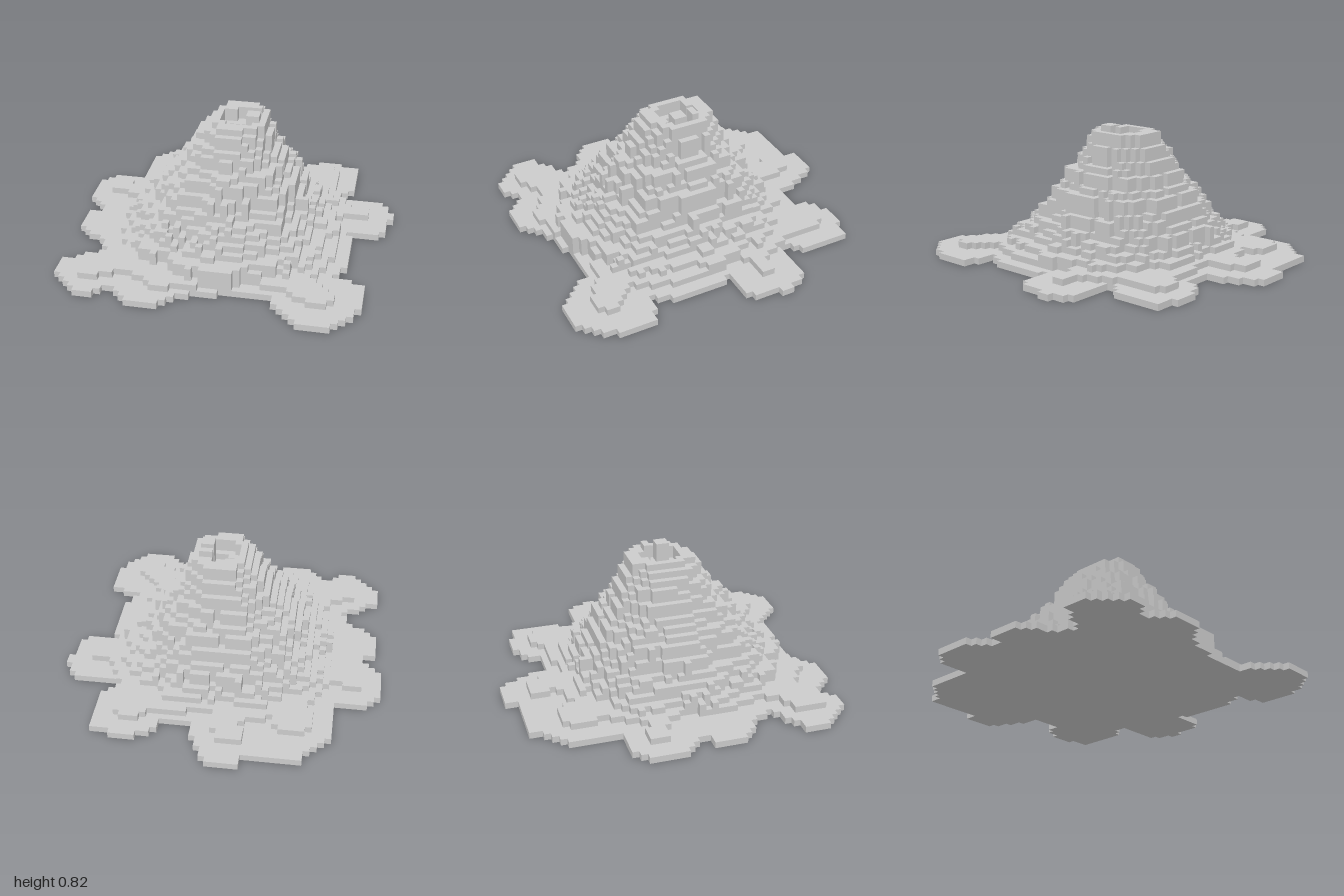
import * as THREE from 'three';

const V = 2 / 51;            // cube size
const NX = 50, NZ = 51, NY = 21;

// Lobed outlines of the two lowest layers, as x, z pairs
const APRON = [
  -.16, -1, 0, -1, .07, -.88, .115, -.78, .115, -.69, .31, -.69, .33, -.75, .39, -.81, .47, -.85, .58, -.85,
  .62, -.81, .7, -.81, .7, -.49, .66, -.46, .62, -.38, .86, -.38, .93, -.31, .98, -.2, .94, -.14, .94, -.03,
  .86, .02, .67, .02, .74, .05, .74, .35, .7, .49, .66, .53, .78, .53, .86, .6, .86, .8, .7, 1,
  .51, 1, .35, .83, .35, .77, .08, .77, -.04, .81, -.2, .84, -.28, .96, -.47, .96, -.59, .84, -.67, .91,
  -.78, .91, -.86, .84, -.94, .76, -.94, .64, -.86, .57, -.71, .48, -.75, .36, -.9, .29, -.94, .25, -.94, .09,
  -.86, .02, -.98, -.1, -.98, -.29, -.94, -.35, -.86, -.41, -.71, -.41, -.67, -.46, -.71, -.48, -.71, -.69,
  -.58, -.85, -.51, -.925, -.23, -.925,
];
const FLOW = [
  -.2, -.85, -.04, -.85, 0, -.69, .02, -.61, .35, -.65, .47, -.73, .55, -.73, .58, -.69, .58, -.53, .62, -.38,
  .7, -.22, .82, -.22, .82, -.14, .66, -.14, .62, -.06, .62, .1, .66, .13, .66, .33, .58, .56, .55, .6,
  .62, .68, .7, .72, .7, .8, .66, .84, .58, .84, .43, .75, .24, .69, .08, .72, -.04, .77, -.31, .84,
  -.43, .76, -.55, .72, -.71, .8, -.79, .8, -.79, .64, -.63, .56, -.59, .45, -.67, .21, -.63, 0, -.67, -.14,
  -.86, -.18, -.86, -.3, -.78, -.3, -.7, -.25, -.63, -.3, -.55, -.5, -.59, -.57, -.59, -.69, -.51, -.73, -.39, -.73,
  -.35, -.61, -.24, -.65, -.16, -.69, -.2, -.77,
];

// Reach of each cone layer (from the third layer up) towards the four sides
const CONE = {
  left: [.62, .55, .51, .47, .43, .43, .39, .39, .39, .35, .31, .31, .27, .23, .23, .23, .2, .2],
  right: [.63, .59, .55, .51, .47, .47, .43, .43, .39, .35, .31, .27, .27, .23, .23, .2, .16, .12],
  front: [.73, .73, .65, .61, .57, .53, .49, .45, .45, .41, .41, .37, .33, .33, .29, .25, .25, .22],
  back: [.57, .53, .49, .49, .45, .41, .41, .37, .37, .33, .29, .29, .25, .25, .22, .2, .18, .18],
};

function inside(outline, x, z) {
  let hit = false;
  for (let i = 0, j = outline.length - 2; i < outline.length; j = i, i += 2) {
    const xi = outline[i], zi = outline[i + 1], xj = outline[j], zj = outline[j + 1];
    if ((zi > z) !== (zj > z) && x < ((xj - xi) * (z - zi)) / (zj - zi) + xi) hit = !hit;
  }
  return hit;
}

// Repeatable roughness per column, -1 to 1
function rough(i, k) {
  const s = Math.sin(i * 12.9898 + k * 78.233) * 43758.5453;
  return (s - Math.floor(s)) * 2 - 1;
}

// Number of stacked cubes in a column
function columnHeight(i, k) {
  const x = (i + 0.5 - NX / 2) * V, z = (k + 0.5 - NZ / 2) * V;
  if (!inside(APRON, x, z)) return 0;
  let h = inside(FLOW, x, z) ? 2 : 1;
  const sideX = x > 0 ? CONE.left : CONE.right, sideZ = z > 0 ? CONE.front : CONE.back;
  const limit = 1 + 0.05 * rough(i, k) + 0.03 * Math.sin(Math.atan2(z, x) * 9);
  for (let n = 0; n < sideX.length; n++) {
    const r = Math.pow(Math.abs(x) / sideX[n], 2.4) + Math.pow(Math.abs(z) / sideZ[n], 2.4);
    if (Math.pow(r, 1 / 2.4) < limit) h = n + 3;
  }
  // Crater hollow and the raised stones on its rim
  const d = Math.hypot(x - 0.03, z - 0.03);
  if (d < 0.06) h = Math.min(h, 17);
  else if (d < 0.115) h = Math.min(h, 18);
  if (x > 0.08 && x < 0.16 && ((z > -0.06 && z < -0.02) || (z > 0.02 && z < 0.1))) h = 21;
  return h;
}

// Each side of a cube: neighbour direction and two edge directions (u x v = direction)
const SIDES = [
  [[1, 0, 0], [0, 1, 0], [0, 0, 1]], [[-1, 0, 0], [0, 0, 1], [0, 1, 0]],
  [[0, 1, 0], [0, 0, 1], [1, 0, 0]], [[0, -1, 0], [1, 0, 0], [0, 0, 1]],
  [[0, 0, 1], [1, 0, 0], [0, 1, 0]], [[0, 0, -1], [0, 1, 0], [1, 0, 0]],
];

// Visible cube sides of the layers from..to
function cubeLayers(name, heights, from, to, material) {
  const height = (i, k) => (i < 0 || k < 0 || i >= NX || k >= NZ ? 0 : heights[i][k]);
  const solid = (i, j, k) => j >= 0 && j < height(i, k);
  const pos = [], nor = [], idx = [];
  for (let i = 0; i < NX; i++) for (let k = 0; k < NZ; k++) for (let j = from; j < Math.min(to, height(i, k)); j++) {
    for (const [d, u, v] of SIDES) {
      if (solid(i + d[0], j + d[1], k + d[2])) continue;
      const c = [i + 0.5 - NX / 2, j + 0.5, k + 0.5 - NZ / 2], base = pos.length / 3;
      for (const [a, b] of [[-1, -1], [1, -1], [1, 1], [-1, 1]]) {
        for (let m = 0; m < 3; m++) pos.push((c[m] + (d[m] + a * u[m] + b * v[m]) / 2) * V);
        nor.push(...d);
      }
      idx.push(base, base + 1, base + 2, base, base + 2, base + 3);
    }
  }
  const geometry = new THREE.BufferGeometry();
  geometry.setAttribute('position', new THREE.Float32BufferAttribute(pos, 3));
  geometry.setAttribute('normal', new THREE.Float32BufferAttribute(nor, 3));
  geometry.setIndex(idx);
  const mesh = new THREE.Mesh(geometry, material);
  mesh.name = name;
  return mesh;
}

export function createModel() {
  const group = new THREE.Group();
  group.name = 'volcano';
  const material = new THREE.MeshStandardMaterial({ color: 0xcccccc, flatShading: true });
  const heights = Array.from({ length: NX }, (_, i) => Array.from({ length: NZ }, (_, k) => columnHeight(i, k)));
  group.add(
    cubeLayers('lavaApron', heights, 0, 2, material),
    cubeLayers('cone', heights, 2, 17, material),
    cubeLayers('craterRim', heights, 17, NY, material),
  );
  return group;
}
